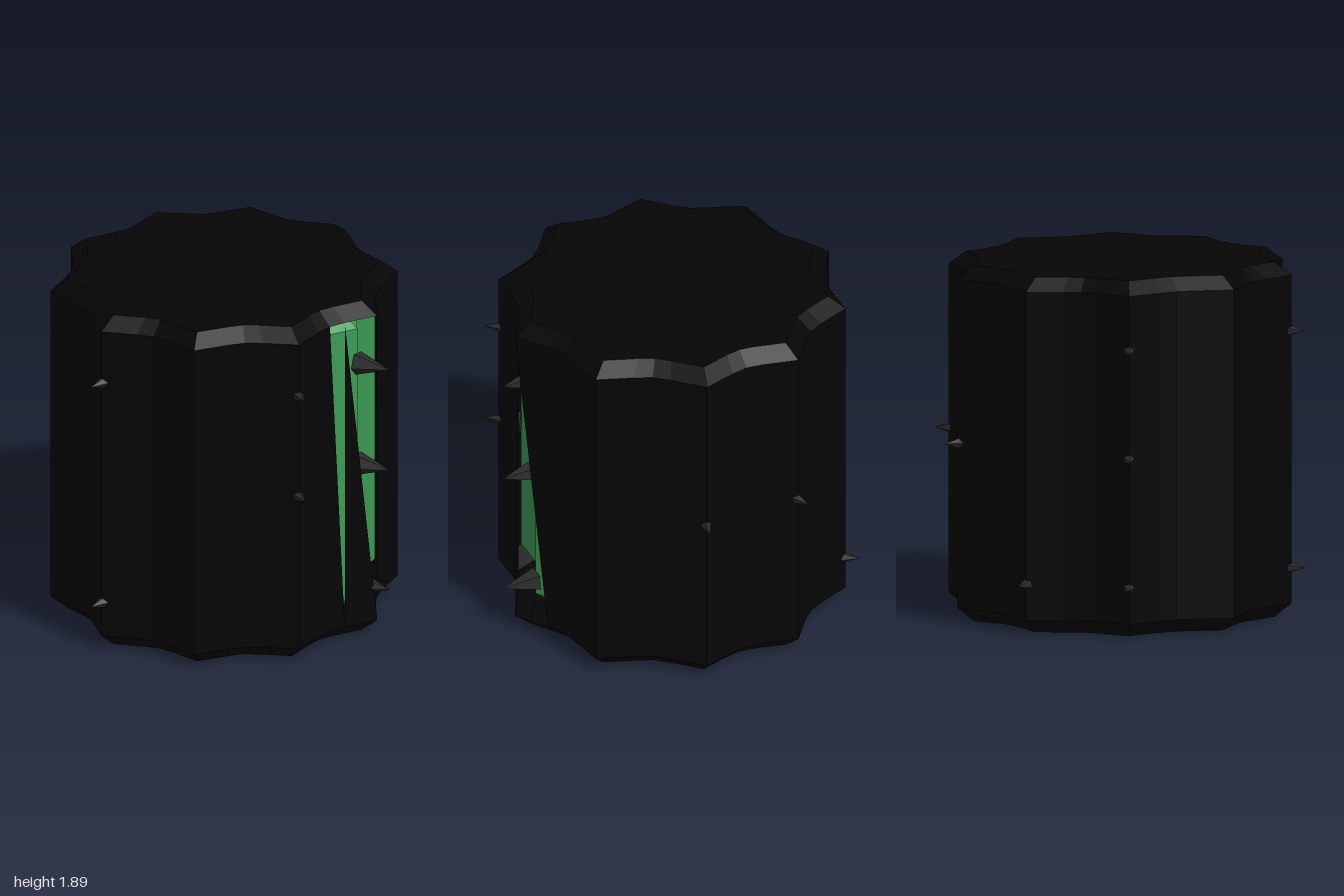
import * as THREE from 'three';

const RAD = Math.PI / 180;
// Ridge directions in degrees from +z towards +x; the second half repeats the first
const HALF = [8, 45.6, 82.9, 117.4, 152.6];
const RIDGES = [...HALF, ...HALF.map((a) => a + 180)];

// Star-like cross-section: a sharp ridge, then three points across each hollow
function crossSection() {
  const points = [];
  RIDGES.forEach((a, i) => {
    const gap = (i < 9 ? RIDGES[i + 1] : RIDGES[0] + 360) - a;
    [[0, 0.922], [0.32, 0.835], [0.5, 0.815], [0.68, 0.835]].forEach(([t, r]) => {
      const angle = (a + gap * t) * RAD;
      points.push([r * Math.sin(angle), r * Math.cos(angle)]);
    });
  });
  return points;
}

// Capped body from scaled copies of the section; skip(col, ring, half) leaves triangles out
function ribbedBody(rings, skip = () => false) {
  const section = crossSection();
  const n = section.length;
  const positions = [];
  rings.forEach(([y, s]) => section.forEach(([x, z]) => positions.push(x * s, y, z * s)));
  const bottom = n * rings.length;
  const top = bottom + 1;
  positions.push(0, rings[0][0], 0, 0, rings[rings.length - 1][0], 0);

  const index = [];
  for (let c = 0; c < n; c++) {
    const d = (c + 1) % n;
    for (let r = 0; r < rings.length - 1; r++) {
      const lo = r * n, hi = lo + n;
      // Diagonal runs from the upper left to the lower right corner
      if (!skip(c, r, 'lower')) index.push(hi + c, lo + c, lo + d);
      if (!skip(c, r, 'upper')) index.push(hi + c, lo + d, hi + d);
    }
    const last = (rings.length - 1) * n;
    index.push(bottom, d, c, top, last + c, last + d);
  }
  const geometry = new THREE.BufferGeometry();
  geometry.setAttribute('position', new THREE.Float32BufferAttribute(positions, 3));
  geometry.setIndex(index);
  geometry.computeVertexNormals();
  return geometry;
}

export function createModel() {
  const group = new THREE.Group();
  const material = (color) =>
    new THREE.MeshStandardMaterial({ color, flatShading: true, side: THREE.DoubleSide });
  const add = (name, geometry, mat) => {
    const mesh = new THREE.Mesh(geometry, mat);
    mesh.name = name;
    group.add(mesh);
    return mesh;
  };

  // Dark shell, open along slanting gaps beside the front ridge
  const gaps = ['38upper', '39upper', '0lower'];
  const shell = ribbedBody(
    [[0, 0.9], [0.075, 1], [1.82, 1], [1.888, 0.9]],
    (c, r, half) => r === 1 && gaps.includes(c + half),
  );
  add('outerShell', shell, material(0x050505));

  // Green ribbed core inside the shell
  const core = ribbedBody([[0.14, 0.82], [0.18, 0.87], [1.72, 0.87], [1.76, 0.82]]);
  add('innerBody', core, material(0x3c9c55));

  // Spines: five-sided cones standing on the ridges of the core
  const spineGeometry = new THREE.ConeGeometry(0.066, 0.2, 5);
  const spineMaterial = material(0x2a2a2a);
  const LOW = 0.265, MID = 0.95, HIGH = 1.525;
  const spines = { 0: [LOW, MID, HIGH], 2: [MID], 3: [MID], 4: [LOW],
    5: [LOW, MID, HIGH], 7: [LOW, HIGH], 9: [MID, HIGH] };
  for (const [ridge, heights] of Object.entries(spines)) {
    const a = RIDGES[ridge] * RAD;
    const outward = new THREE.Vector3(Math.sin(a), 0, Math.cos(a));
    for (const y of heights) {
      const spine = add('spine', spineGeometry, spineMaterial);
      spine.position.copy(outward).multiplyScalar(0.9).setY(y);
      spine.quaternion.setFromUnitVectors(new THREE.Vector3(0, 1, 0), outward);
    }
  }
  return group;
}
